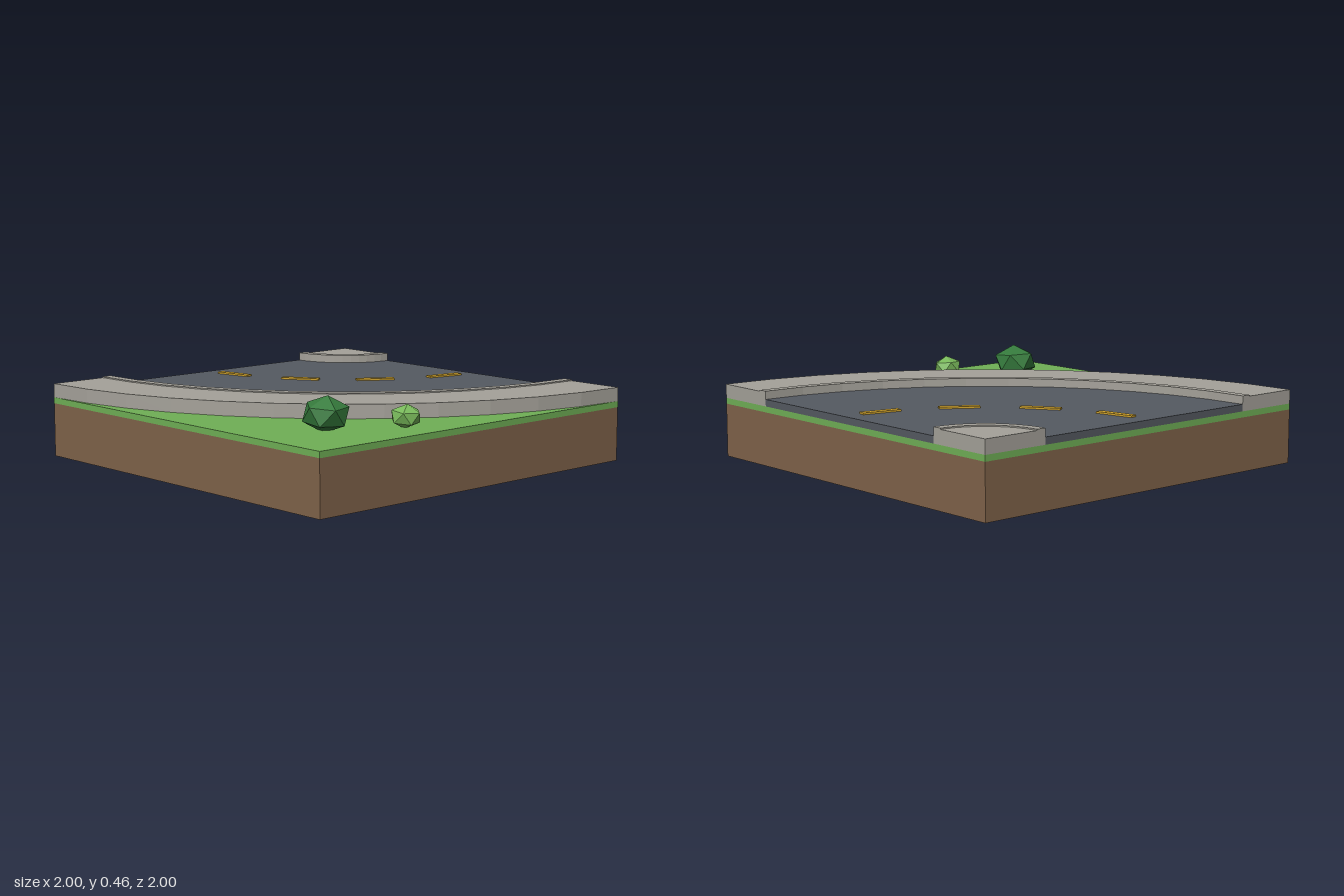
import * as THREE from 'three';

const paint = (name, color, flatShading = false) => {
  const m = new THREE.MeshStandardMaterial({ color, flatShading });
  m.name = name;
  return m;
};

export function createModel() {
  const dirt = paint('dirt', 0x80634a);
  const grass = paint('grass', 0x70b056);
  const asphalt = paint('asphalt', 0x555a61);
  const concrete = paint('concrete', 0xa5a29a);
  const yellow = paint('yellow', 0xd0a32c);
  const darkLeaf = paint('dark leaf', 0x357a3c, true);
  const lightLeaf = paint('light leaf', 0x78b85a, true);

  const model = new THREE.Group();
  model.name = 'roadCornerTile';
  const add = (name, geometry, material, x, y, z) => {
    const mesh = new THREE.Mesh(geometry, material);
    mesh.name = name;
    mesh.position.set(x, y, z);
    model.add(mesh);
    return mesh;
  };

  // Quarter ring around the back corner, from height y0 up to y1
  const quarterRing = (name, material, inner, outer, y0, y1) => {
    const s = new THREE.Shape();
    s.moveTo(inner, 0);
    s.lineTo(outer, 0);
    s.absarc(0, 0, outer, 0, Math.PI / 2, false);
    s.lineTo(0, inner);
    if (inner > 0) s.absarc(0, 0, inner, Math.PI / 2, 0, true);
    const g = new THREE.ExtrudeGeometry(s, { depth: y1 - y0, bevelEnabled: false, curveSegments: 6 });
    g.rotateX(Math.PI / 2);
    add(name, g, material, -1, y1, -1);
  };

  // Ground block
  add('soil', new THREE.BoxGeometry(2, 0.27, 2), dirt, 0, 0.135, 0);
  add('lawn', new THREE.BoxGeometry(2, 0.03, 2), grass, 0, 0.285, 0);

  // Road and pavements with a slightly raised kerb lip
  quarterRing('road', asphalt, 0.35, 1.65, 0.3, 0.335);
  quarterRing('outerPavement', concrete, 1.65, 2, 0.3, 0.37);
  quarterRing('outerKerb', concrete, 1.65, 1.7, 0.37, 0.376);
  quarterRing('innerPavement', concrete, 0, 0.35, 0.3, 0.37);
  quarterRing('innerKerb', concrete, 0.3, 0.35, 0.37, 0.376);

  // Centre line dashes
  for (let i = 0; i < 4; i++) {
    const a = ((i + 0.5) * Math.PI) / 8;
    const dash = add('laneDash', new THREE.BoxGeometry(0.04, 0.009, 0.2), yellow,
      Math.cos(a) - 1, 0.3395, Math.sin(a) - 1);
    dash.rotation.y = -a;
  }

  // Faceted bushes, flattened and sunk a little into the lawn
  const bush = (name, material, r, x, y, z, turn) => {
    const g = new THREE.IcosahedronGeometry(r, 0);
    g.rotateZ(Math.atan(2 / (1 + Math.sqrt(5))));
    g.rotateY(turn);
    g.rotateZ(-0.12);
    g.scale(1, 0.76, 1);
    add(name, g, material, x, y, z);
  };
  bush('largeBush', darkLeaf, 0.117, 0.62, 0.372, 0.62, 0.3);
  bush('smallBush', lightLeaf, 0.078, 0.815, 0.35, 0.3, 0.9);

  return model;
}
